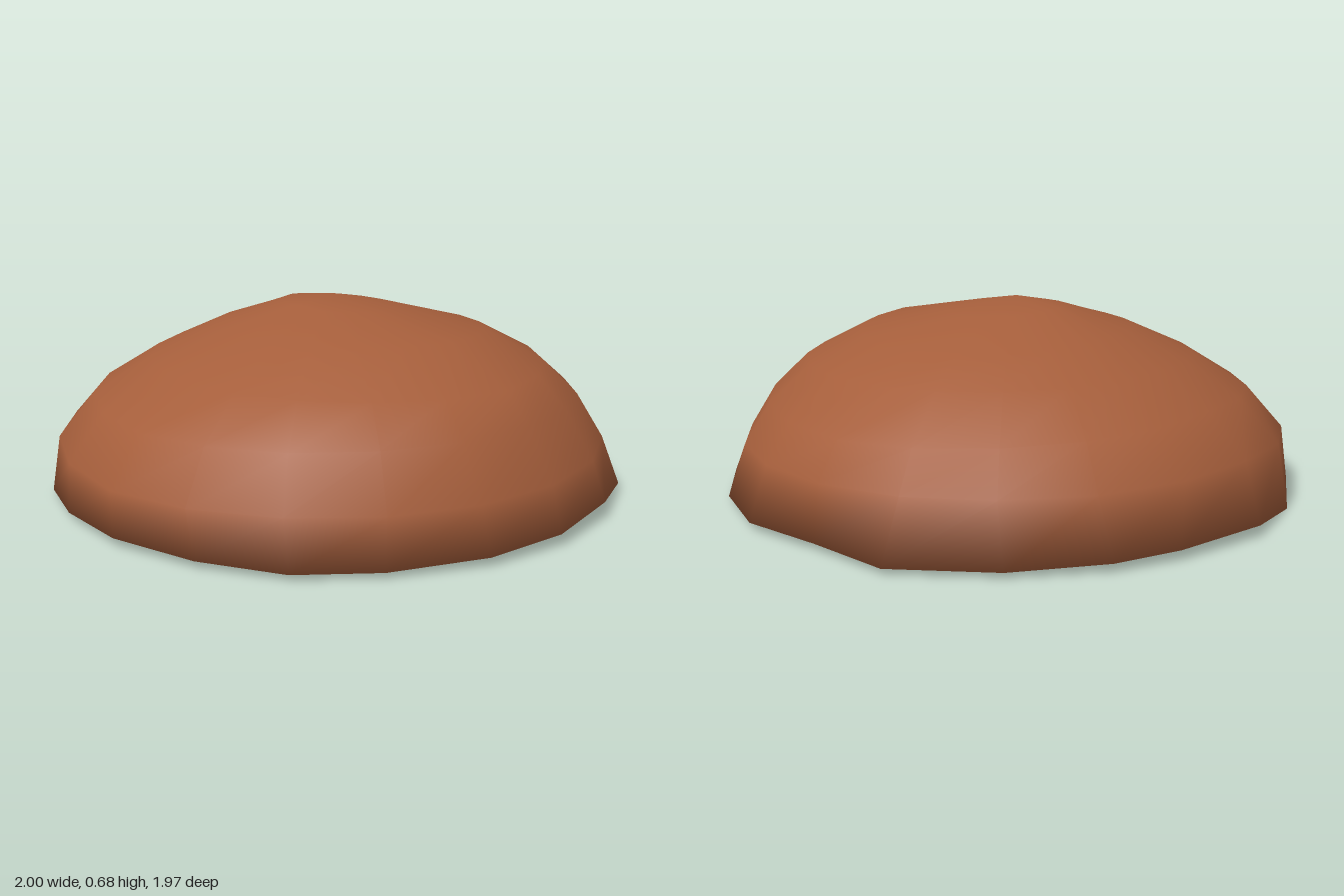
import * as THREE from 'three';

const SIDES = 20;

// Rim outline, 18 degrees apart from +x towards +z: [x, y, z]
const RIM = [
  [1, .04, 0], [.95, .03, .29], [.79, .02, .58], [.6, .02, .79], [.33, .025, .92],
  [.01, .03, .98], [-.3, .025, .93], [-.57, .015, .81], [-.79, .03, .58], [-.93, 0, .32],
  [-1, .04, 0], [-.92, .035, -.34], [-.82, .03, -.55], [-.6, .02, -.79], [-.3, .02, -.99],
  [0, .025, -.975], [.31, .025, -.97], [.6, .02, -.82], [.82, .025, -.61], [.95, .055, -.32],
];

// Dome profiles [radius, height] facing +x, +z, -x and -z, blended around the dome
const PROFILES = [
  [[.96, .19], [.86, .36], [.78, .46], [.54, .58], [.22, .64]],
  [[.975, .18], [.86, .34], [.65, .47], [.4, .58], [.14, .65]],
  [[.94, .24], [.8, .38], [.62, .49], [.42, .58], [.2, .655]],
  [[.95, .21], [.87, .33], [.69, .47], [.54, .55], [.25, .63]],
];

function domePoint(ring, side) {
  const quarter = side / SIDES * 4;
  const q = Math.floor(quarter), t = quarter - q;
  const a = PROFILES[q][ring], b = PROFILES[(q + 1) % 4][ring];
  const r = THREE.MathUtils.lerp(a[0], b[0], t);
  const angle = side / SIDES * Math.PI * 2;
  return [r * Math.cos(angle), THREE.MathUtils.lerp(a[1], b[1], t), r * Math.sin(angle)];
}

export function createModel() {
  const crustMaterial = new THREE.MeshStandardMaterial({ color: 0xa55e3b });
  crustMaterial.name = 'warm brown';
  const baseMaterial = new THREE.MeshStandardMaterial({ color: 0xc4a882 });
  baseMaterial.name = 'pale tan';

  // Rim, five dome rings, then the peak and the centre of the underside
  const points = [...RIM];
  for (let ring = 0; ring < 5; ring++)
    for (let i = 0; i < SIDES; i++) points.push(domePoint(ring, i));
  const peak = points.push([-.01, .68, 0]) - 1;
  const centre = points.push([0, .03, 0]) - 1;

  const index = [];
  for (let ring = 0; ring < 5; ring++) {
    for (let i = 0; i < SIDES; i++) {
      const j = (i + 1) % SIDES, lo = ring * SIDES, up = lo + SIDES;
      index.push(lo + i, up + i, lo + j, lo + j, up + i, up + j);
    }
  }
  for (let i = 0; i < SIDES; i++)
    index.push(5 * SIDES + i, peak, 5 * SIDES + (i + 1) % SIDES);
  const domeCount = index.length;
  for (let i = 0; i < SIDES; i++) index.push(centre, i, (i + 1) % SIDES);

  // The dome and underside share rim vertices, so shading rolls over the edge
  const geometry = new THREE.BufferGeometry();
  geometry.setAttribute('position', new THREE.Float32BufferAttribute(points.flat(), 3));
  geometry.setIndex(index);
  geometry.addGroup(0, domeCount, 0);
  geometry.addGroup(domeCount, index.length - domeCount, 1);
  geometry.computeVertexNormals();

  const cap = new THREE.Mesh(geometry, [crustMaterial, baseMaterial]);
  cap.name = 'domeWithUnderside';
  const model = new THREE.Group();
  model.name = 'roundedCap';
  model.add(cap);
  return model;
}
